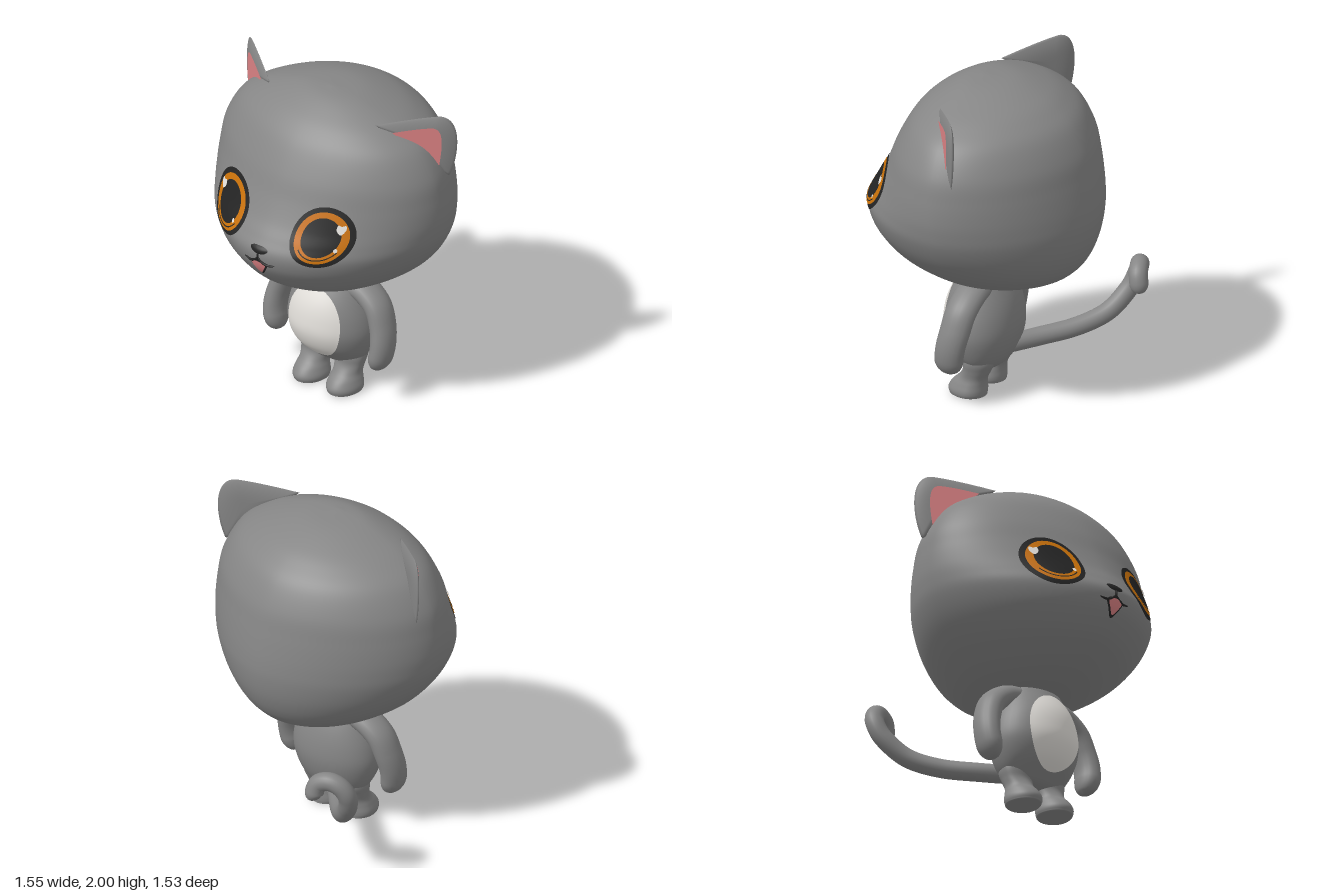
import * as THREE from 'three';
import { mergeVertices } from 'three/addons/utils/BufferGeometryUtils.js';

const mat = (name, color, side = THREE.FrontSide) => {
  const m = new THREE.MeshStandardMaterial({ color, side });
  m.name = name;
  return m;
};
const V = (x, y, z = 0) => new THREE.Vector3(x, y, z);
const spline = (pts, closed = false) =>
  new THREE.CatmullRomCurve3(pts.map((p) => V(...p)), closed, 'catmullrom', 0.5);

// Weld seams and recompute smooth normals
function smooth(geo) {
  geo.deleteAttribute('uv');
  geo.deleteAttribute('normal');
  const g = mergeVertices(geo, 1e-5);
  g.computeVertexNormals();
  return g;
}

// Surface from a rule fn(u, v) -> Vector3
function grid(nu, nv, fn) {
  const pos = [], idx = [];
  for (let i = 0; i <= nu; i++)
    for (let j = 0; j <= nv; j++) pos.push(...fn(i / nu, j / nv).toArray());
  for (let i = 0; i < nu; i++)
    for (let j = 0; j < nv; j++) {
      const a = i * (nv + 1) + j, b = a + nv + 1;
      idx.push(a, b, a + 1, b, b + 1, a + 1);
    }
  const g = new THREE.BufferGeometry();
  g.setAttribute('position', new THREE.Float32BufferAttribute(pos, 3));
  g.setIndex(idx);
  return smooth(g);
}

function mirror(geo) {
  const g = geo.clone().scale(-1, 1, 1);
  const a = g.index.array;
  for (let i = 0; i < a.length; i += 3) [a[i], a[i + 1]] = [a[i + 1], a[i]];
  return g;
}

// Body of superelliptic sections; rows run downward: [y, halfWidth, zFront, zBack]
function loft(rows, { cx = 0, c0 = 0, c1 = 0, pow = () => [2, 2], nu = 48, nv = 48 }) {
  const front = spline(rows.map(([y, w, f]) => [w, y, f]));
  const back = spline(rows.map(([y, w, , b]) => [w, y, b]));
  const mid = (t) => c0 + (c1 - c0) * t;
  const geo = grid(nu, nv, (t, v) => {
    const a = -2 * Math.PI * v, c = Math.cos(a), s = Math.sin(a);
    const F = front.getPoint(t), B = back.getPoint(t), p = pow(t)[s >= 0 ? 0 : 1];
    const x = Math.sign(c) * Math.abs(c) ** (2 / p) * Math.max(F.x, 0);
    const z = Math.abs(s) ** (2 / p) * ((s >= 0 ? F.z : B.z) - mid(t));
    return V(cx + x, F.y, mid(t) + z);
  });
  // Depth of the front surface at x, y
  const z = (x, y) => {
    let lo = 0, hi = 1;
    for (let i = 0; i < 30; i++) {
      const m = (lo + hi) / 2;
      if (front.getPoint(m).y > y) lo = m; else hi = m;
    }
    const F = front.getPoint(lo), p = pow(lo)[0];
    const k = Math.min(1, Math.abs(x - cx) / F.x);
    return mid(lo) + (F.z - mid(lo)) * (1 - k ** p) ** (1 / p);
  };
  return { geo, z };
}

// Filled outline (counter-clockwise), placed by map(x, y, ringFraction)
const patch = (outline, [cx, cy], map, nu = 10, nv = 64) => grid(nu, nv, (u, v) => {
  const o = outline(v);
  return map(cx + (o.x - cx) * u, cy + (o.y - cy) * u, u);
});
const ellipse = (cx, cy, rx, ry) => (v) =>
  V(cx + rx * Math.cos(2 * Math.PI * v), cy + ry * Math.sin(2 * Math.PI * v));
const closed = (pts) => { const c = spline(pts, true); return (v) => c.getPoint(v); };

// Ear outline: straight root from a to b, round side to the tip, gentle top edge
const earOutline = (a, b, c1, c2, tip, q) => {
  const s = new THREE.Shape().moveTo(...a).lineTo(...b).bezierCurveTo(...c1, ...c2, ...tip)
    .quadraticCurveTo(...q, ...a);
  return (v) => s.getPoint(v);
};

// Tube of varying radius, widened by depth along z
function limb(pts, radius, { nu = 64, nv = 20, depth = 1 } = {}) {
  const curve = spline(pts), g = new THREE.TubeGeometry(curve, nu, 1, nv);
  const p = g.attributes.position, q = V(0, 0);
  for (let i = 0; i <= nu; i++) {
    const c = curve.getPointAt(i / nu), r = Math.max(radius(i / nu), 0.0005);
    for (let j = 0; j <= nv; j++) {
      const k = i * (nv + 1) + j;
      q.fromBufferAttribute(p, k).sub(c).multiplyScalar(r);
      q.z *= depth;
      q.add(c);
      p.setXYZ(k, q.x, q.y, q.z);
    }
  }
  return smooth(g);
}
const roundEnd = (t, t0) => (t < t0 ? 1 : Math.sqrt(Math.max(0, 1 - ((t - t0) / (1 - t0)) ** 2)));

export function createModel() {
  const root = new THREE.Group();
  const fur = mat('greyFur', 0x868686);
  const white = mat('bellyWhite', 0xe4e1dc, THREE.DoubleSide);
  const pink = mat('pink', 0xdc8284, THREE.DoubleSide);
  const black = mat('black', 0x242424, THREE.DoubleSide);
  const amber = mat('amber', 0xca720a, THREE.DoubleSide);
  const add = (name, geo, m) => {
    const mesh = new THREE.Mesh(geo, m);
    mesh.name = name;
    root.add(mesh);
  };
  const pair = (name, geo, m) => { add(name + 'Left', geo, m); add(name + 'Right', mirror(geo), m); };

  // Head
  const head = loft([
    [2.0, 0, 0.05, 0.05], [1.982, 0.19, 0.16, -0.15], [1.925, 0.375, 0.275, -0.32], [1.86, 0.52, 0.365, -0.43],
    [1.77, 0.645, 0.445, -0.525], [1.62, 0.735, 0.53, -0.6], [1.48, 0.764, 0.59, -0.632], [1.36, 0.772, 0.65, -0.652],
    [1.27, 0.764, 0.708, -0.662], [1.19, 0.745, 0.75, -0.664], [1.1, 0.702, 0.737, -0.654], [1.02, 0.646, 0.69, -0.634],
    [0.94, 0.57, 0.62, -0.6], [0.87, 0.48, 0.525, -0.55], [0.8, 0.365, 0.4, -0.46], [0.748, 0.22, 0.235, -0.3],
    [0.722, 0, -0.05, -0.05],
  ], { c0: 0.05, c1: -0.05, nu: 96, nv: 96, pow: (t) => { const s = Math.sin(Math.PI * t); return [2 - 0.23 * s, 2 - 0.27 * s]; } });
  add('head', head.geo, fur);
  const onHead = (lift) => (x, y) => V(x, y, head.z(x, y) + lift);

  // Ears: thin lens shells on a slanted vertical plane
  const onEar = (x, y, d) => V(x + 0.588 * d, y, 0.145 - (x - 0.39) * 0.727 + 0.809 * d);
  const earLine = earOutline([0.39, 1.915], [0.738, 1.585], [0.785, 1.72], [0.805, 1.985], [0.69, 1.985], [0.58, 1.97]);
  pair('ear', grid(24, 96, (u, v) => {
    const r = u < 0.5 ? 2 * u : 2 - 2 * u, o = earLine(v);
    const d = (u < 0.5 ? 1 : -1) * 0.023 * (1 - r ** 3);
    return onEar(0.65 + (o.x - 0.65) * r, 1.83 + (o.y - 1.83) * r, d);
  }), fur);
  const innerLine = earOutline([0.47, 1.88], [0.69, 1.66], [0.705, 1.78], [0.718, 1.915], [0.66, 1.917], [0.6, 1.915]);
  pair('innerEar', patch(innerLine, [0.65, 1.83], (x, y) => onEar(x, y, 0.024)), pink);

  // Eyes
  const [ex, ey] = [0.334, 1.337];
  const disc = (rx, ry, lift, x = ex, y = ey) => patch(ellipse(x, y, rx, ry), [x, y], onHead(lift));
  pair('eyeRim', disc(0.17, 0.172, 0.005), black);
  pair('iris', disc(0.143, 0.145, 0.01), amber);
  pair('pupil', disc(0.104, 0.11, 0.015, ex, 1.341), black);
  pair('irisLine', grid(1, 32, (u, v) => {
    const a = Math.PI * (1.2 + 0.6 * v), r = 0.12 + 0.006 * u;
    return onHead(0.014)(ex + r * Math.cos(a), ey + r * Math.sin(a));
  }), black);
  const glint = closed([[0.434, 1.365], [0.455, 1.395], [0.45, 1.42], [0.43, 1.415], [0.41, 1.42], [0.408, 1.39]]);
  pair('eyeGlint', patch(glint, [0.432, 1.395], onHead(0.02)), white);
  add('smallGlintLeft', disc(0.01, 0.012, 0.02, 0.427, 1.277), white);
  add('smallGlintRight', disc(0.01, 0.012, 0.02, -0.249, 1.277), white);

  // Nose and mouth
  add('nose', patch(closed([[-0.062, 1.217], [-0.04, 1.195], [0, 1.188], [0.04, 1.195], [0.062, 1.217], [0.035, 1.232],
    [0, 1.234], [-0.035, 1.232]]), [0, 1.213], (x, y, k) => onHead(0.003 + 0.007 * (1 - k * k))(x, y)), black);
  const mouth = (s, lift) => patch(closed([[-0.06, 1.128], [-0.037, 1.075], [0, 1.033], [0.037, 1.075],
    [0.06, 1.128], [0, 1.148]].map(([x, y]) => [x * s, 1.1 + (y - 1.1) * s])), [0, 1.1], onHead(lift));
  add('mouth', mouth(1, 0.004), black);
  add('tongue', mouth(0.8, 0.009), pink);
  const line = (pts, r) => limb(pts.map(([x, y]) => onHead(0.003)(x, y).toArray()),
    (t) => r * Math.sqrt(Math.sin(Math.PI * t) + 0.05), { nu: 24, nv: 8 });
  add('mouthStem', line([[0, 1.2], [0, 1.17], [0, 1.14]], 0.007), black);
  pair('lip', line([[0, 1.165], [0.025, 1.138], [0.06, 1.124], [0.108, 1.13]], 0.008), black);

  // Torso and belly
  const torso = loft([
    [0.8, 0, 0.04, 0.04], [0.77, 0.15, 0.15, -0.07], [0.7, 0.205, 0.2, -0.105], [0.6, 0.25, 0.25, -0.145],
    [0.5, 0.28, 0.272, -0.166], [0.4, 0.288, 0.272, -0.168], [0.3, 0.262, 0.232, -0.145],
    [0.22, 0.218, 0.16, -0.105], [0.17, 0.15, 0.105, -0.055], [0.15, 0, 0.03, 0.03],
  ], { c0: 0.04, c1: 0.03 });
  add('torso', torso.geo, fur);
  add('belly', patch(ellipse(0, 0.465, 0.19, 0.235), [0, 0.465],
    (x, y) => V(x, y, torso.z(x, y) + 0.008)), white);

  // Legs with flat-soled feet
  pair('leg', loft([
    [0.34, 0, 0.03, 0.03], [0.31, 0.09, 0.1, -0.06], [0.23, 0.104, 0.115, -0.075], [0.17, 0.094, 0.118, -0.05],
    [0.12, 0.087, 0.148, -0.025], [0.08, 0.096, 0.19, -0.018], [0.04, 0.106, 0.215, -0.018],
    [0.012, 0.102, 0.212, -0.016], [0, 0.085, 0.195, -0.005], [0, 0, 0.09, 0.09],
  ], { cx: 0.123, c0: 0.03, c1: 0.09 }).geo, fur);

  // Arms
  pair('arm', limb([[0.14, 0.7, 0.03], [0.235, 0.675, 0.03], [0.328, 0.605, 0.04], [0.374, 0.5, 0.055],
    [0.393, 0.4, 0.075], [0.385, 0.31, 0.088], [0.352, 0.225, 0.09]],
  (t) => (0.072 - 0.008 * t) * roundEnd(t, 0.83), { depth: 1.38 }), fur);

  // Curled tail
  add('tail', limb([[-0.05, 0.28, -0.08], [-0.2, 0.29, -0.2], [-0.36, 0.32, -0.36], [-0.5, 0.385, -0.49],
    [-0.61, 0.5, -0.57], [-0.645, 0.6, -0.61], [-0.62, 0.67, -0.64], [-0.56, 0.7, -0.67],
    [-0.495, 0.675, -0.695], [-0.475, 0.61, -0.71], [-0.485, 0.565, -0.71]],
  (t) => 0.056 * roundEnd(t, 0.955), { nu: 128 }), fur);

  return root;
}
